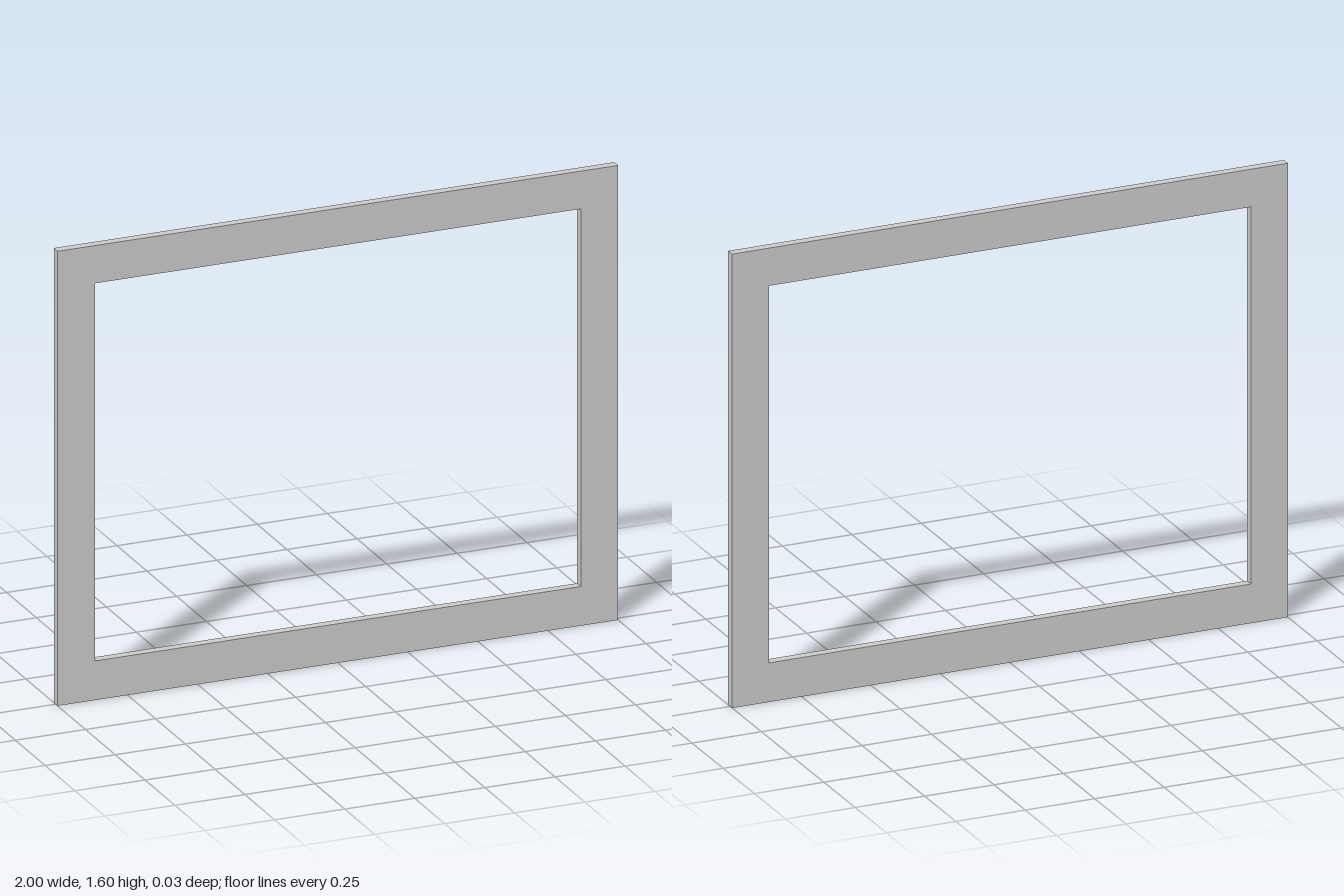
import * as THREE from 'three';

const WIDTH = 2, HEIGHT = 1.6, DEPTH = 0.032;

// Counter-clockwise rectangle outline
function rectPoints(x0, y0, x1, y1) {
  return [[x0, y0], [x1, y0], [x1, y1], [x0, y1]].map(([x, y]) => new THREE.Vector2(x, y));
}

export function createModel() {
  const group = new THREE.Group();
  group.name = 'rectangularFrame';

  // Flat board with a rectangular opening
  const outline = new THREE.Shape(rectPoints(-WIDTH / 2, 0, WIDTH / 2, HEIGHT));
  outline.holes.push(new THREE.Path(rectPoints(-0.867, 0.138, 0.867, 1.467).reverse()));

  const geometry = new THREE.ExtrudeGeometry(outline, { depth: DEPTH, bevelEnabled: false });
  geometry.translate(0, 0, -DEPTH / 2);

  const frame = new THREE.Mesh(geometry, new THREE.MeshStandardMaterial({ color: 0xcccccc }));
  frame.name = 'frame';
  group.add(frame);
  return group;
}
